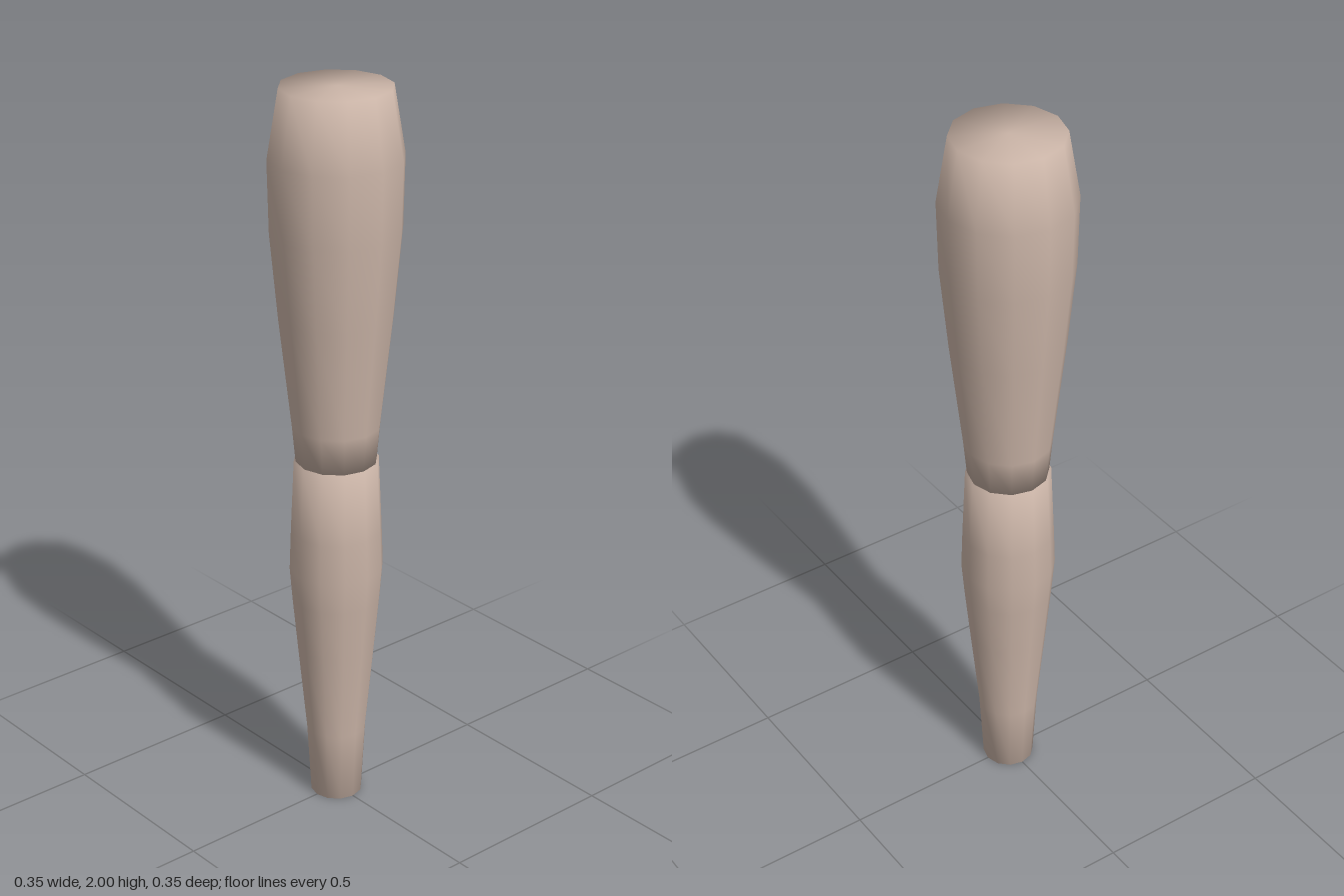
import * as THREE from 'three';

const SIDES = 12;

// Closed, smooth-shaded limb segment from [radius, height] pairs, bottom to top
function limbSegment(name, profile, material) {
  const bottom = profile[0][1];
  const top = profile[profile.length - 1][1];
  const points = [[0, bottom], ...profile, [0, top]].map(([r, y]) => new THREE.Vector2(r, y));
  const mesh = new THREE.Mesh(new THREE.LatheGeometry(points, SIDES), material);
  mesh.name = name;
  return mesh;
}

export function createModel() {
  const skin = new THREE.MeshStandardMaterial({ color: 0xc9b3a6 });
  skin.name = 'skin';

  const leg = new THREE.Group();
  leg.name = 'leg';

  // Lower leg: narrow ankle, fuller calf, slight taper to the knee
  leg.add(limbSegment('lowerLeg', [
    [0.07, 0], [0.081, 0.2], [0.105, 0.45], [0.119, 0.6], [0.126, 0.69], [0.122, 0.8], [0.113, 1],
  ], skin));

  // Upper leg: widens from the knee to the hip, then tapers in
  leg.add(limbSegment('upperLeg', [
    [0.108, 1], [0.117, 1.1], [0.15, 1.4], [0.171, 1.63], [0.175, 1.82], [0.145, 2],
  ], skin));

  return leg;
}
